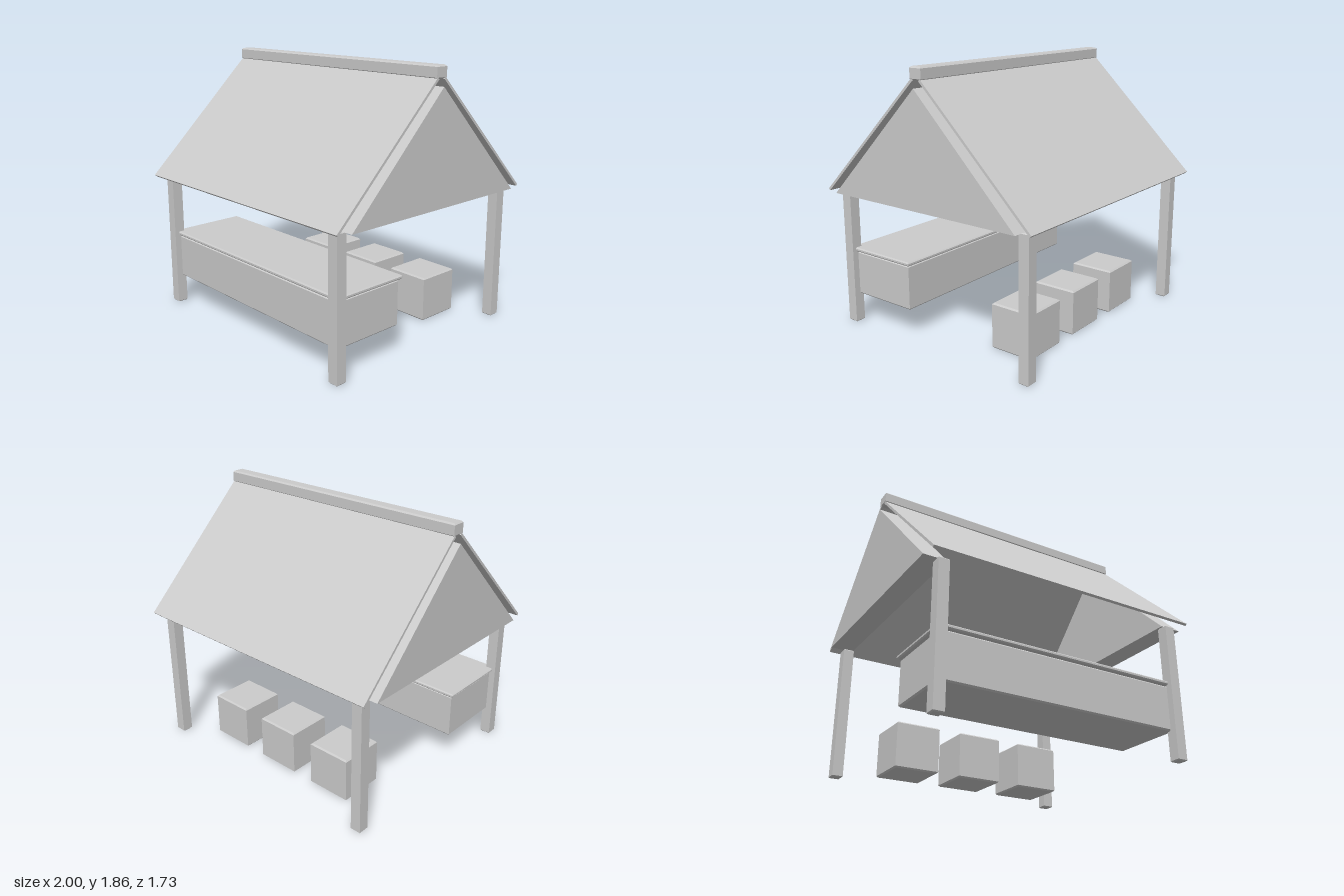
import * as THREE from 'three';

const material = new THREE.MeshStandardMaterial({ color: 0xcccccc, flatShading: true });

// Box with chamfered top and bottom rims, given by its limits on each axis
function chamferBox(name, [x0, x1], [y0, y1], [z0, z1], b = 0.01) {
  const w = (x1 - x0) / 2 - b, d = (z1 - z0) / 2 - b;
  const shape = new THREE.Shape([
    new THREE.Vector2(-w, -d), new THREE.Vector2(w, -d),
    new THREE.Vector2(w, d), new THREE.Vector2(-w, d),
  ]);
  const geo = new THREE.ExtrudeGeometry(shape, {
    depth: y1 - y0 - 2 * b, bevelEnabled: true, bevelSegments: 1, bevelSize: b, bevelThickness: b,
  });
  geo.rotateX(-Math.PI / 2);
  geo.translate((x0 + x1) / 2, y0 + b, (z0 + z1) / 2);
  const mesh = new THREE.Mesh(geo, material);
  mesh.name = name;
  return mesh;
}

// Prism along x from a profile of [z, y] points
function prism(name, points, x0, x1) {
  const shape = new THREE.Shape(points.map(([z, y]) => new THREE.Vector2(-z, y)));
  const geo = new THREE.ExtrudeGeometry(shape, { depth: x1 - x0, bevelEnabled: false });
  geo.rotateY(Math.PI / 2);
  geo.translate(x0, 0, 0);
  const mesh = new THREE.Mesh(geo, material);
  mesh.name = name;
  return mesh;
}

export function createModel() {
  const stall = new THREE.Group();
  stall.name = 'marketStall';

  // Four corner posts
  for (const sx of [-1, 1]) {
    for (const sz of [-1, 1]) {
      const post = chamferBox('post', [-0.0375, 0.0375], [0, 0.96], [-0.0375, 0.0375], 0.007);
      post.position.set(sx * 0.878, 0, sz * 0.763);
      stall.add(post);
    }
  }

  // Counter body and its overhanging top
  stall.add(chamferBox('counterBody', [-0.87, 0.87], [0.205, 0.52], [0.23, 0.755]));
  stall.add(chamferBox('counterTop', [-0.89, 0.89], [0.525, 0.553], [0.21, 0.77], 0.008));

  // Three stools behind the counter
  for (const x of [-0.48, 0, 0.48]) {
    stall.add(chamferBox('stool', [x - 0.159, x + 0.159], [0, 0.32], [-0.615, -0.297]));
  }

  // Thick triangular gables
  const triangle = [[-0.765, 0.965], [0.765, 0.965], [0, 1.73]];
  stall.add(prism('rightGable', triangle, -1, -0.84));
  stall.add(prism('leftGable', triangle, 0.84, 1));

  // Thin roof slopes
  for (const s of [1, -1]) {
    const slope = [[0.853, 0.966], [0.865, 0.978], [0.036, 1.786], [0.024, 1.774]];
    stall.add(prism('roofSlope', slope.map(([z, y]) => [s * z, y]), -0.98, 0.98));
  }

  // Ridge beam
  stall.add(chamferBox('ridgeBeam', [-0.98, 0.98], [1.775, 1.86], [-0.046, 0.046]));

  return stall;
}
